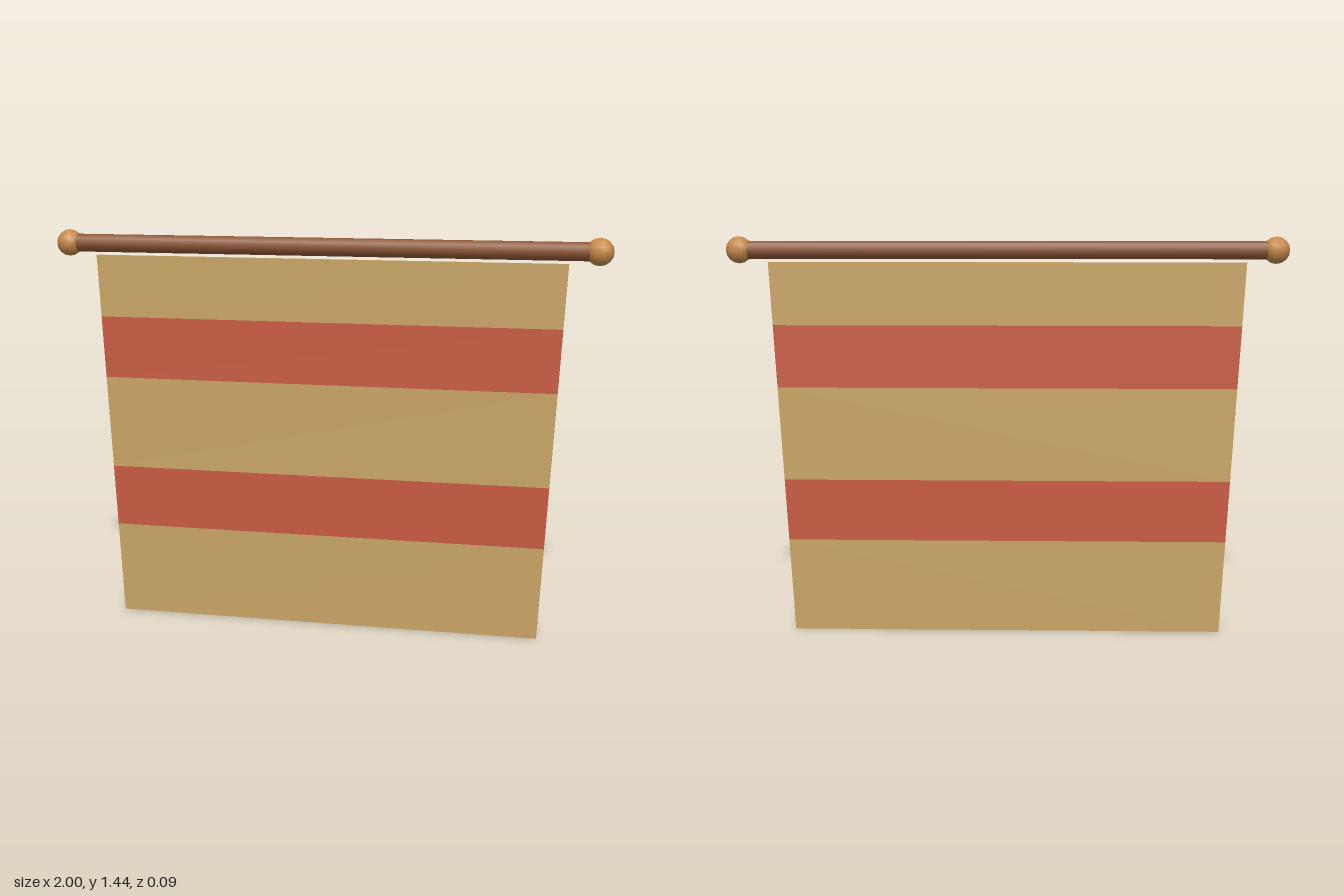
import * as THREE from 'three';

const mat = (name, color) => {
  const m = new THREE.MeshStandardMaterial({ color });
  m.name = name;
  return m;
};

export function createModel() {
  const model = new THREE.Group();
  model.name = 'hangingBanner';
  const cloth = mat('tan cloth', 0xc8a464);
  const red = mat('red cloth', 0xc85a40);
  const wood = mat('dark wood', 0x8b5433);
  const knob = mat('light wood', 0xc68a4a);

  const add = (name, geometry, material, x = 0, y = 0) => {
    const mesh = new THREE.Mesh(geometry, material);
    mesh.name = name;
    mesh.position.set(x, y, 0);
    model.add(mesh);
    return mesh;
  };

  // Crossbar with a round finial at each end
  const barY = 1.393;
  add('crossbar', new THREE.CylinderGeometry(0.033, 0.033, 1.9, 10), wood, 0, barY).rotation.z = Math.PI / 2;
  for (const side of [1, -1]) {
    add(side > 0 ? 'leftFinial' : 'rightFinial', new THREE.SphereGeometry(0.048, 10, 8), knob, side * 0.952, barY);
  }

  // Tapered cloth, cut into horizontal bands of alternating colour
  const top = 1.35, thickness = 0.01;
  const halfWidth = (y) => 0.78 + 0.07 * y / top;
  const levels = [0, 0.338, 0.562, 0.9, 1.125, top];
  for (let i = 0; i < levels.length - 1; i++) {
    const y0 = levels[i], y1 = levels[i + 1];
    const w0 = halfWidth(y0), w1 = halfWidth(y1);
    const shape = new THREE.Shape([
      new THREE.Vector2(-w0, y0), new THREE.Vector2(w0, y0),
      new THREE.Vector2(w1, y1), new THREE.Vector2(-w1, y1),
    ]);
    const band = new THREE.ExtrudeGeometry(shape, { depth: thickness, bevelEnabled: false });
    band.translate(0, 0, -thickness / 2);
    add(i % 2 ? 'redStripe' : 'clothPanel', band, i % 2 ? red : cloth);
  }
  return model;
}
